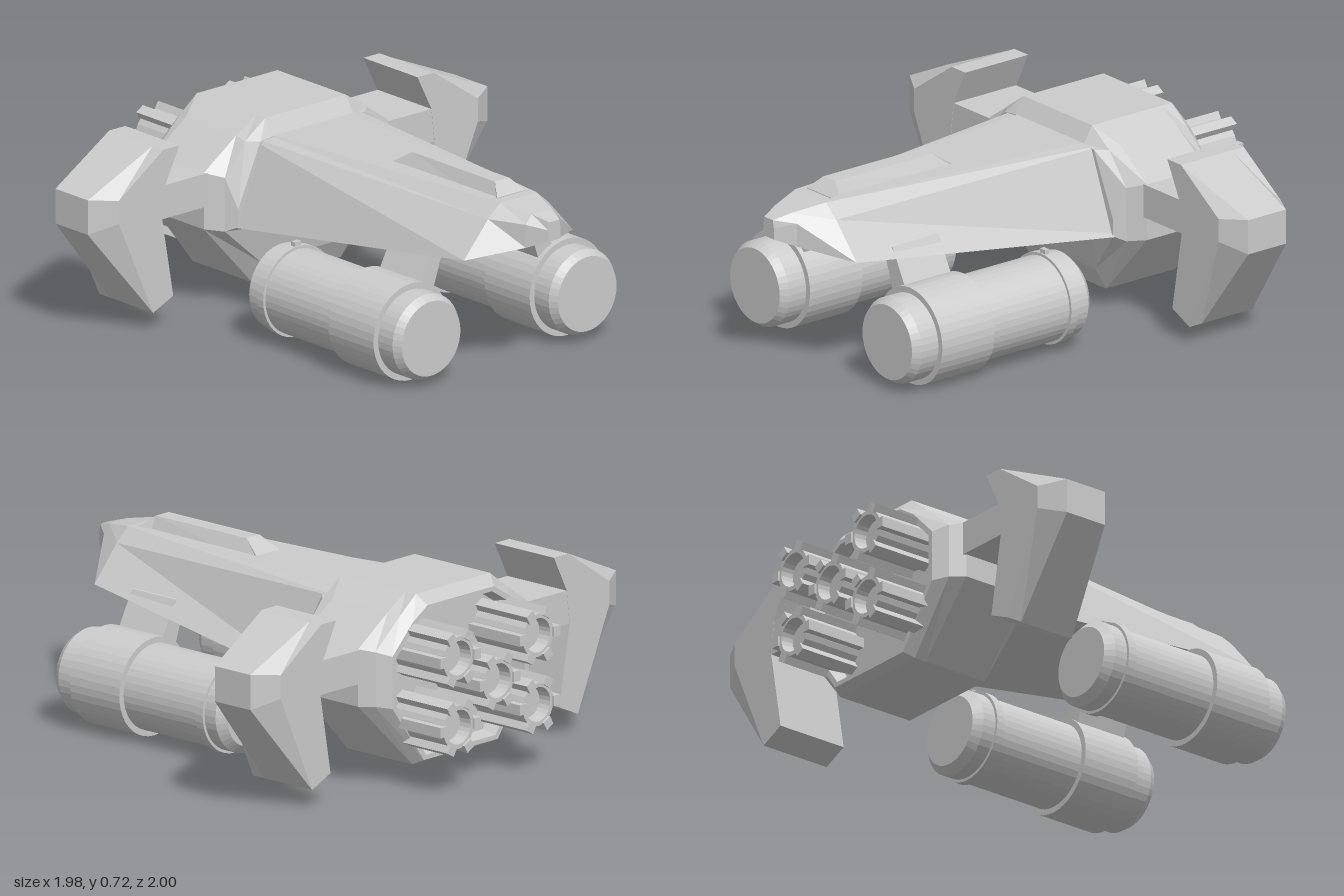
import * as THREE from 'three';

const flat = new THREE.MeshStandardMaterial({ color: 0xcccccc, flatShading: true, side: THREE.DoubleSide });

function add(parent, name, geometry, x = 0, y = 0, z = 0) {
  const mesh = new THREE.Mesh(geometry, flat);
  mesh.name = name;
  mesh.position.set(x, y, z);
  parent.add(mesh);
  return mesh;
}

// Skin a row of [z, outline] cross-sections and cap both ends.
function loft(sections) {
  const rings = sections.map(([z, pts]) => {
    const ring = pts.map(([x, y]) => new THREE.Vector2(x, y));
    if (THREE.ShapeUtils.isClockWise(ring)) ring.reverse();
    return { z, ring };
  });
  const pos = [];
  const put = (s, j) => pos.push(s.ring[j].x, s.ring[j].y, s.z);
  const n = rings[0].ring.length;
  for (let i = 0; i < rings.length - 1; i++) {
    const a = rings[i], b = rings[i + 1];
    for (let j = 0; j < n; j++) {
      const k = (j + 1) % n;
      put(a, j); put(a, k); put(b, k);
      put(a, j); put(b, k); put(b, j);
    }
  }
  const first = rings[0], last = rings[rings.length - 1];
  for (const [p, q, r] of THREE.ShapeUtils.triangulateShape(first.ring, [])) {
    put(first, r); put(first, q); put(first, p);
  }
  for (const [p, q, r] of THREE.ShapeUtils.triangulateShape(last.ring, [])) {
    put(last, p); put(last, q); put(last, r);
  }
  const g = new THREE.BufferGeometry();
  g.setAttribute('position', new THREE.Float32BufferAttribute(pos, 3));
  g.computeVertexNormals();
  return g;
}

// Complete a right half outline (top to bottom) with its mirror image.
const sym = half => [...half, ...half.map(([x, y]) => [-x, y]).reverse()];
const inset = (half, k, cy) => half.map(([x, y]) => [x * k, cy + (y - cy) * k]);

export function createModel() {
  const ship = new THREE.Group();
  ship.name = 'spaceship';

  // Long tapering forward fuselage
  add(ship, 'fuselage', loft([
    [-0.45, sym([[0.2, 0.668], [0.255, 0.663], [0.385, 0.335]])],
    [0.8, sym([[0.09, 0.672], [0.15, 0.62], [0.27, 0.485]])],
    [0.93, sym([[0.05, 0.65], [0.08, 0.615], [0.08, 0.525]])],
    [1.0, sym([[0.025, 0.63], [0.03, 0.6], [0.03, 0.555]])],
  ]));

  // Raised ridge on the nose
  add(ship, 'dorsalRidge', loft([
    [0.16, sym([[0.07, 0.66], [0.07, 0.65]])],
    [0.25, sym([[0.035, 0.718], [0.07, 0.65]])],
    [0.71, sym([[0.035, 0.718], [0.07, 0.64]])],
    [0.76, sym([[0.07, 0.675], [0.07, 0.64]])],
  ]));

  // Wide rear hull with a recessed engine bay
  const rear = [[0.18, 0.69], [0.26, 0.64], [0.37, 0.53], [0.37, 0.33], [0.2, 0.1]];
  const full = [[0.2, 0.73], [0.3, 0.67], [0.46, 0.56], [0.46, 0.34], [0.22, 0.08]];
  add(ship, 'rearHull', loft([
    [-0.74, sym(inset(rear, 0.9, 0.4))],
    [-0.8, sym(inset(rear, 0.94, 0.4))],
    [-0.8, sym(rear)],
    [-0.76, sym([[0.2, 0.73], [0.29, 0.66], [0.42, 0.55], [0.42, 0.34], [0.22, 0.08]])],
    [-0.71, sym(full)],
    [-0.43, sym(full)],
    [-0.38, sym([[0.2, 0.73], [0.3, 0.66], [0.4, 0.54], [0.4, 0.33], [0.22, 0.17]])],
    [-0.34, sym([[0.2, 0.667], [0.26, 0.66], [0.37, 0.42], [0.37, 0.35], [0.25, 0.33]])],
  ]));

  // Five ribbed engine nozzles
  const nozzle = new THREE.LatheGeometry([[0, 0], [0.083, 0], [0.083, 0.25], [0.066, 0.25], [0.06, 0.2], [0, 0.2]]
    .map(p => new THREE.Vector2(...p)), 24);
  nozzle.rotateX(-Math.PI / 2);
  for (const [x, y] of [[0, 0.4], [0.215, 0.53], [-0.215, 0.53], [0.215, 0.265], [-0.215, 0.265]]) {
    const engine = new THREE.Group();
    engine.name = 'engine';
    engine.position.set(x, y, -0.74);
    add(engine, 'nozzle', nozzle);
    for (let i = 0; i < 6; i++) {
      const a = i * Math.PI / 3;
      const rib = add(engine, 'rib', new THREE.BoxGeometry(0.035, 0.04, 0.26),
        Math.cos(a) * 0.092, Math.sin(a) * 0.092, -0.13);
      rib.rotation.z = a;
    }
    ship.add(engine);
  }

  // Wings, pods and pylons on both sides
  const podProfile = [[0, -0.105], [0.135, -0.105], [0.165, -0.075], [0.165, -0.02], [0.176, -0.02], [0.176, 0.015],
    [0.165, 0.015], [0.165, 0.39], [0.188, 0.39], [0.188, 0.64], [0.165, 0.64], [0.165, 0.72], [0.145, 0.75], [0, 0.75]];
  const pod = new THREE.LatheGeometry(podProfile.map(p => new THREE.Vector2(...p)), 40);
  pod.rotateX(Math.PI / 2);

  const tipInner = [[0.675, 0.43], [0.66, 0.56], [0.59, 0.7], [0.67, 0.7]];
  const tipFoot = [[0.72, 0.075], [0.62, 0.12]];
  const tipNarrow = [...tipInner, [0.89, 0.55], [0.89, 0.46], ...tipFoot];
  const tipWide = [...tipInner, [0.99, 0.56], [0.99, 0.425], ...tipFoot];

  for (const side of [1, -1]) {
    const name = side > 0 ? 'left' : 'right';
    const flip = pts => pts.map(([x, y]) => [x * side, y]);

    const wing = new THREE.Group();
    wing.name = name + 'Wing';
    add(wing, 'wingStrut', new THREE.BoxGeometry(0.3, 0.13, 0.298), side * 0.53, 0.495, -0.57);
    add(wing, 'wingTip', loft([
      [-0.72, flip(tipNarrow)], [-0.66, flip(tipWide)], [-0.48, flip(tipWide)], [-0.42, flip(tipNarrow)],
    ]));
    ship.add(wing);

    const podGroup = new THREE.Group();
    podGroup.name = name + 'Pod';
    add(podGroup, 'podBody', pod, side * 0.387, 0.195, 0);
    add(podGroup, 'podLug', new THREE.BoxGeometry(0.03, 0.03, 0.02), side * 0.387, 0.372, 0);
    const pylon = flip([[0.2, 0.51], [0.26, 0.5], [0.345, 0.34], [0.27, 0.3]]);
    add(podGroup, 'pylon', loft([[0.4, pylon], [0.62, pylon]]));
    ship.add(podGroup);
  }
  return ship;
}
